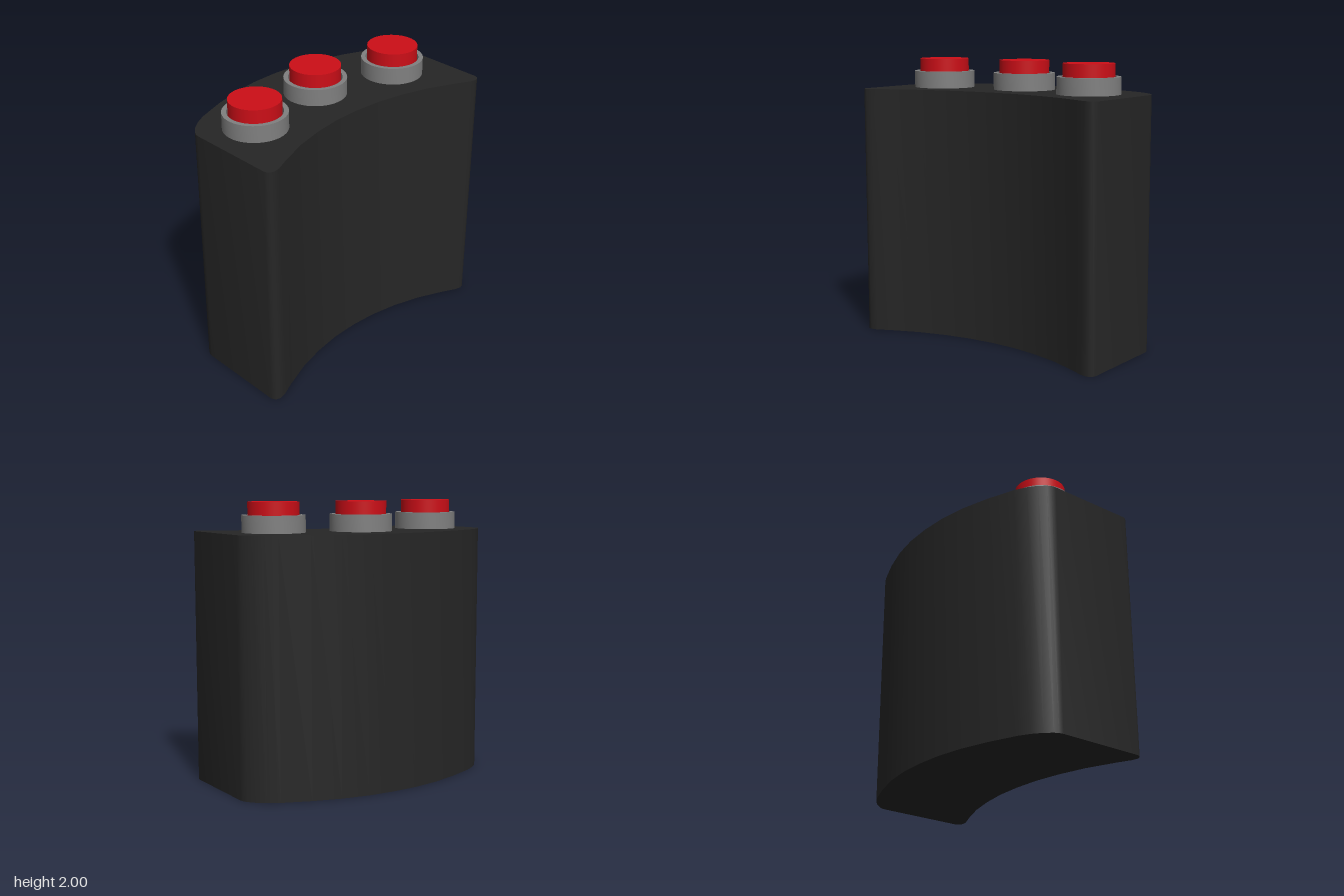
import * as THREE from 'three';
import { toCreasedNormals } from 'three/addons/utils/BufferGeometryUtils.js';

const BODY_TOP = 1.79, RING_TOP = 1.91, BUTTON_TOP = 2;

export function createModel() {
  const group = new THREE.Group();
  const black = new THREE.MeshStandardMaterial({ color: 0x262626 });
  const grey = new THREE.MeshStandardMaterial({ color: 0x808080 });
  const red = new THREE.MeshStandardMaterial({ color: 0xcc0e17 });

  // Curved block: half outline as (x, z), from back centre round to front centre
  const half = [
    [0, -0.535], [0.2, -0.525], [0.4, -0.49], [0.6, -0.43], [0.8, -0.352],
    [0.88, -0.306], [0.94, -0.257], [0.98, -0.208], [0.995, -0.18], [1, -0.15],
    [1, 0.49], [0.993, 0.511], [0.977, 0.527], [0.95, 0.535], [0.905, 0.525],
    [0.8, 0.475], [0.6, 0.393], [0.4, 0.338], [0.2, 0.304], [0, 0.294],
  ];
  const mirrored = half.slice(1, -1).reverse().map(([x, z]) => [-x, z]);
  const outline = new THREE.Shape([...half, ...mirrored].map(([x, z]) => new THREE.Vector2(x, -z)));
  const bodyGeometry = new THREE.ExtrudeGeometry(outline, { depth: BODY_TOP, bevelEnabled: false });
  bodyGeometry.rotateX(-Math.PI / 2);
  const body = new THREE.Mesh(toCreasedNormals(bodyGeometry, 0.6), black);
  body.name = 'curvedBody';
  group.add(body);

  // Collar: open ring with a narrow gap around the button
  const profile = [[0.188, BODY_TOP], [0.22, BODY_TOP], [0.22, RING_TOP], [0.188, RING_TOP], [0.188, BODY_TOP]]
    .map(([r, y]) => new THREE.Vector2(r, y));
  const collarGeometry = toCreasedNormals(new THREE.LatheGeometry(profile, 48).toNonIndexed(), 0.6);

  const buttonHeight = BUTTON_TOP - BODY_TOP;
  const buttonGeometry = new THREE.CylinderGeometry(0.178, 0.178, buttonHeight, 48);
  buttonGeometry.translate(0, BODY_TOP + buttonHeight / 2, 0);

  // Three push buttons following the curve of the block
  const places = { right: [-0.65, 0.01], middle: [-0.005, -0.105], left: [0.625, 0.025] };
  for (const [side, [x, z]] of Object.entries(places)) {
    const unit = new THREE.Group();
    unit.name = side + 'ButtonUnit';
    const collar = new THREE.Mesh(collarGeometry, grey);
    collar.name = 'collar';
    const button = new THREE.Mesh(buttonGeometry, red);
    button.name = 'button';
    unit.add(collar, button);
    unit.position.set(x, 0, z);
    group.add(unit);
  }
  return group;
}
